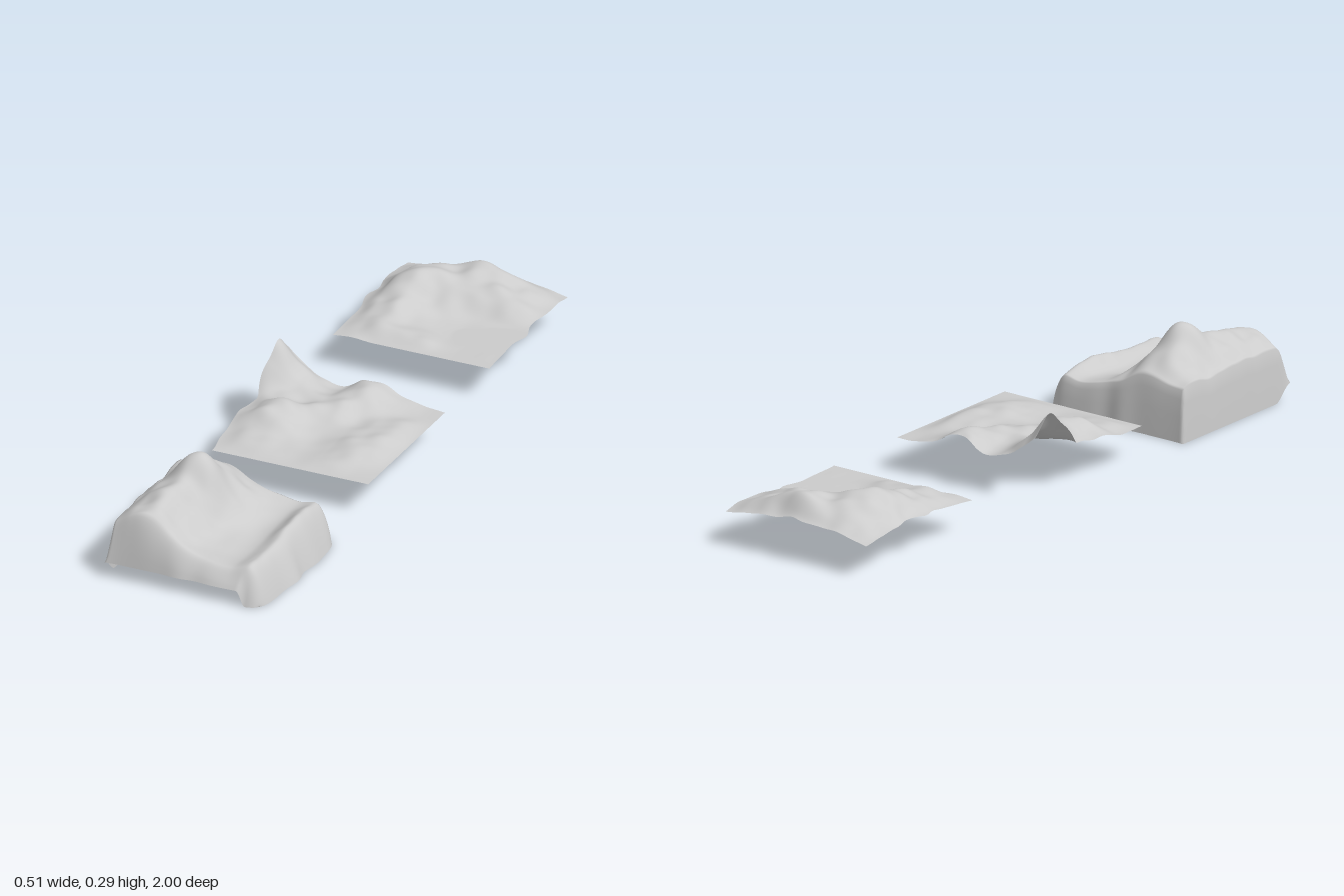
import * as THREE from 'three';

const N = 9, SEG = 90;
const { clamp, smoothstep } = THREE.MathUtils;

// Height control grids in hundredths: rows run back to front, columns from -x to +x
const RIDGE = [
  [15.5, 16, 16.5, 15.5, 13, 11.5, 10.5, 11, 9],
  [16, 19, 20.5, 19, 14.5, 11.5, 10.5, 12.2, 10],
  [15.5, 20, 24, 22, 15, 11, 10, 13, 11],
  [15.5, 21, 27.8, 26.2, 15, 10, 9.5, 13, 11],
  [16, 21, 24.5, 20.5, 12.5, 9.5, 9, 12, 10],
  [16.5, 20.5, 22.5, 18, 11.5, 9.5, 9, 11, 9],
  [16, 20.5, 21.5, 16.5, 11.5, 9.5, 9, 11, 9.5],
  [15.5, 20, 20, 15.5, 11.5, 10, 9.5, 11, 9],
  [15, 19, 19.5, 15, 11.5, 10, 9, 9, 7],
];
const PEAK = [
  [20, 16, 12.5, 11.5, 14.5, 14.5, 11.8, 10.3, 10],
  [26, 19.5, 14, 12.7, 15.5, 15.2, 12, 10.4, 10],
  [21, 17, 14, 13.5, 15, 13, 11.5, 11.3, 10],
  [14, 14, 13.5, 14.5, 14, 11.5, 12, 12, 10],
  [13, 16, 16.5, 14, 12, 11.5, 12.5, 12.3, 10],
  [12.5, 15.5, 15.5, 12.5, 10.7, 11.5, 12.8, 12.3, 10],
  [11, 12.5, 12.5, 11.5, 10.5, 11, 12.5, 11.5, 10],
  [10.5, 11.5, 11.5, 11, 10.5, 11, 11.5, 10.5, 10],
  [10, 10, 10, 10, 10, 10, 10, 10, 10],
];
const HILLS = [
  [10, 11, 12, 12.5, 13, 12.5, 12, 11, 10],
  [11, 13.5, 15, 17, 19, 17.5, 16, 13, 11],
  [11.5, 15, 17.5, 17.5, 17.5, 16.5, 15.5, 13, 11],
  [12, 17, 19.7, 18, 16, 15, 14.5, 13, 11],
  [12, 16, 17.5, 14.5, 12.5, 11, 10.5, 10, 10],
  [11.5, 15, 15.5, 13, 11, 10, 10, 10, 10],
  [11, 13, 14, 12, 11, 10, 10, 10, 10],
  [10.5, 12, 13, 12.5, 12, 10.5, 10, 10, 10],
  [10, 10.5, 10, 10, 10, 10, 10, 10, 10],
];

// Cubic interpolation along one row of values
function cubic(v, t) {
  const f = clamp(t, 0, 1) * (N - 1), i = Math.min(Math.floor(f), N - 2), k = f - i;
  const p = (j) => v[clamp(j, 0, N - 1)];
  const a = p(i - 1), b = p(i), c = p(i + 1), d = p(i + 2);
  return b + 0.5 * k * (c - a + k * (2 * a - 5 * b + 4 * c - d + k * (3 * (b - c) + d - a)));
}

// Small rolling detail: waves crossing in many directions
function ripple(x, z) {
  let sum = 0;
  for (let i = 0; i < 8; i++) {
    const a = i * 2.4, f = 38 + 9 * i;
    sum += Math.sin(f * (x * Math.cos(a) + z * Math.sin(a)) + i * i) * 38 / f;
  }
  return sum;
}

// Terrain tile; wobble lists how ragged the -x, +x, -z and +z edges are,
// corner is how far the +x corners are rounded off
function terrain(name, grid, z0, z1, wobble, corner, edge) {
  const depth = z1 - z0;
  const geo = new THREE.PlaneGeometry(0.51, depth, SEG, SEG).rotateX(-Math.PI / 2);
  const pos = geo.attributes.position;
  for (let i = 0; i < pos.count; i++) {
    const x = pos.getX(i), z = pos.getZ(i) + (z0 + z1) / 2;
    const u = x / 0.51 + 0.5, v = (z - z0) / depth;
    let y = cubic(grid.map((row) => cubic(row, u)), v) / 100;
    y += ripple(x, z) * 0.0028 * clamp((y - 0.1) / 0.05, 0.05, 1);
    y = edge(y, x, z);
    const wx = 0.008 * (1 + Math.sin(29 * z + 1.5 * Math.sin(17 * z)));
    const wz = 0.005 * (1 + Math.sin(31 * x + 1.5 * Math.sin(19 * x)));
    const front = corner * (u * v) ** 14, back = corner * (u * (1 - v)) ** 14;
    const dx = wx * (wobble[0] * (1 - u) ** 8 - wobble[1] * u ** 8) - front - back;
    const dz = wz * (wobble[2] * (1 - v) ** 8 - wobble[3] * v ** 8) - front + back;
    pos.setXYZ(i, x + dx, y, z + dz);
  }
  geo.computeVertexNormals();
  const mesh = new THREE.Mesh(geo, new THREE.MeshStandardMaterial({ color: 0xcccccc, side: THREE.DoubleSide }));
  mesh.name = name;
  return mesh;
}

// Open tiles never dip below their flat rim
const flatRim = (y) => Math.max(y, 0.1);

// Steep sides of the ridge tile: drop to the ground, with the front rim a little higher
function cliffs(y, x, z) {
  const drop = (d, w) => 1 - (1 - clamp(d / w, 0, 1)) ** 2;
  const base = 0.047 * smoothstep(z, 0.93, 1) * (1 - smoothstep(x, 0.165, 0.195));
  const k = drop(x + 0.255, 0.012) * drop(0.255 - x, 0.075) * drop(z - 0.49, 0.02) * drop(1 - z, 0.05);
  return base + (y - base) * k;
}

export function createModel() {
  const group = new THREE.Group();
  group.name = 'terrainTiles';
  group.add(
    terrain('ridgeTerrain', RIDGE, 0.49, 1, [0, 0.6, 0.6, 0.5], 0.022, cliffs),
    terrain('peakTerrain', PEAK, -0.19, 0.32, [0.9, 0, 1, 0], 0, flatRim),
    terrain('hillTerrain', HILLS, -1, -0.49, [0.9, 0.9, 0.8, 0], 0, flatRim),
  );
  return group;
}
